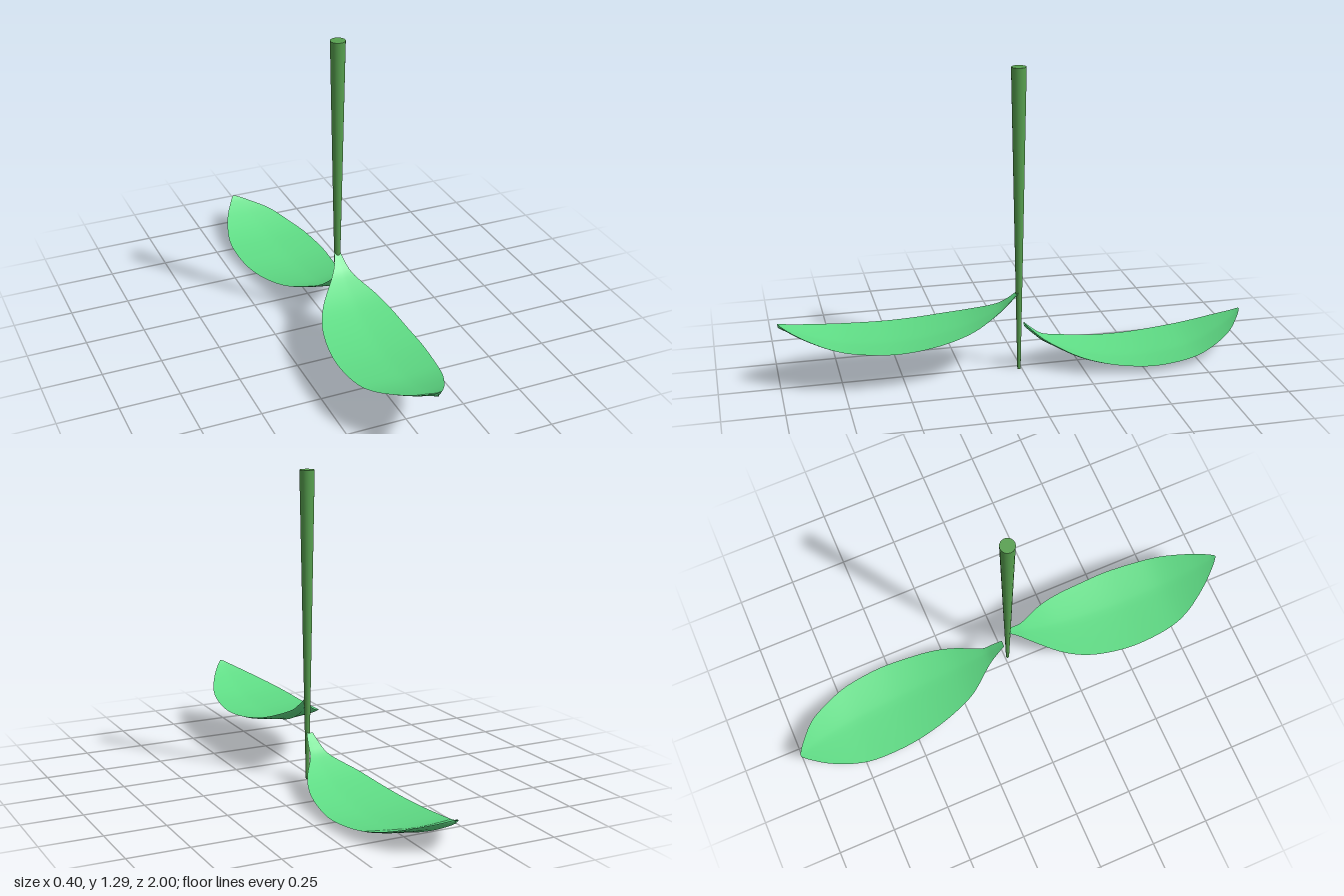
import * as THREE from 'three';

const stemMaterial = new THREE.MeshStandardMaterial({ color: 0x57a04f });
const leafMaterial = new THREE.MeshStandardMaterial({ color: 0x5fdc85, side: THREE.DoubleSide });

// Distance from the stem and height of the arching midrib, shared by both leaves
const ARCH = [
  [0.01, 0.2], [0.05, 0.162], [0.1, 0.122], [0.2, 0.073], [0.3, 0.042], [0.42, 0.02],
  [0.55, 0.012], [0.7, 0.022], [0.8, 0.043], [0.9, 0.08], [0.97, 0.115], [1, 0.135],
];

// Outline at each arch station: [-x edge, midrib x, +x edge]
const FRONT = [
  [0.015, 0.027, 0.04], [0.0, 0.025, 0.048], [-0.035, 0.022, 0.066], [-0.112, 0.015, 0.118],
  [-0.162, 0.008, 0.146], [-0.19, 0.004, 0.16], [-0.2, 0, 0.166], [-0.188, 0, 0.15],
  [-0.155, 0, 0.126], [-0.092, 0.002, 0.08], [-0.032, 0.004, 0.035], [0.002, 0.005, 0.008],
];
const BACK = [
  [0.015, 0.03, 0.043], [0.003, 0.032, 0.055], [-0.02, 0.037, 0.07], [-0.092, 0.041, 0.132],
  [-0.132, 0.041, 0.17], [-0.163, 0.038, 0.19], [-0.184, 0.03, 0.197], [-0.19, 0.014, 0.175],
  [-0.175, -0.004, 0.134], [-0.14, -0.03, 0.071], [-0.1, -0.055, -0.015], [-0.078, -0.072, -0.066],
];

// Thin leaf blade: lofted cross-sections with a shallow V and a keel below
function makeLeaf(name, outline, dir, baseY) {
  const curve = (pairs) => new THREE.SplineCurve(pairs.map(([a, b]) => new THREE.Vector2(a, b)));
  const arch = curve(ARCH);
  const edges = curve(outline.map(([l, , r]) => [l, r]));
  const ribs = curve(outline.map(([, m]) => [m, 0]));
  const rows = 48, cols = 16;
  const positions = [], indices = [];

  for (const under of [false, true]) {
    const start = positions.length / 3;
    for (let i = 0; i <= rows; i++) {
      const t = i / rows;
      const a = arch.getPoint(t), e = edges.getPoint(t), mid = ribs.getPoint(t).x;
      const width = (e.y - e.x) / 0.37;
      for (let j = 0; j <= cols; j++) {
        const u = (j / cols * 2 - 1) * dir;
        const x = u < 0 ? mid + u * (mid - e.x) : mid + u * (e.y - mid);
        const lift = 0.013 * width * Math.abs(u) ** 1.4;
        const keel = 0.004 * Math.max(0, 1 - Math.abs(u) * 6);
        const depth = under ? 0.01 * Math.sqrt(Math.max(0, 1 - u * u)) + keel : 0;
        positions.push(x, baseY + a.y + lift - depth, a.x * dir);
      }
    }
    for (let i = 0; i < rows; i++) {
      for (let j = 0; j < cols; j++) {
        const p = start + i * (cols + 1) + j, q = p + cols + 1;
        if (under) indices.push(p, p + 1, q, p + 1, q + 1, q);
        else indices.push(p, q, p + 1, p + 1, q, q + 1);
      }
    }
  }
  const geometry = new THREE.BufferGeometry();
  geometry.setAttribute('position', new THREE.Float32BufferAttribute(positions, 3));
  geometry.setIndex(indices);
  geometry.computeVertexNormals();
  const leaf = new THREE.Mesh(geometry, leafMaterial);
  leaf.name = name;
  return leaf;
}

export function createModel() {
  const model = new THREE.Group();
  model.name = 'stemWithLeaves';

  // Stem, widening towards the top
  const stem = new THREE.Mesh(new THREE.CylinderGeometry(0.031, 0.007, 1.29, 20), stemMaterial);
  stem.name = 'stem';
  stem.position.set(0.029, 0.645, 0.012);
  model.add(stem);

  // Upper leaf to the front, lower leaf to the back
  model.add(makeLeaf('frontLeaf', FRONT, 1, 0.15));
  model.add(makeLeaf('backLeaf', BACK, -1, 0.004));
  return model;
}
